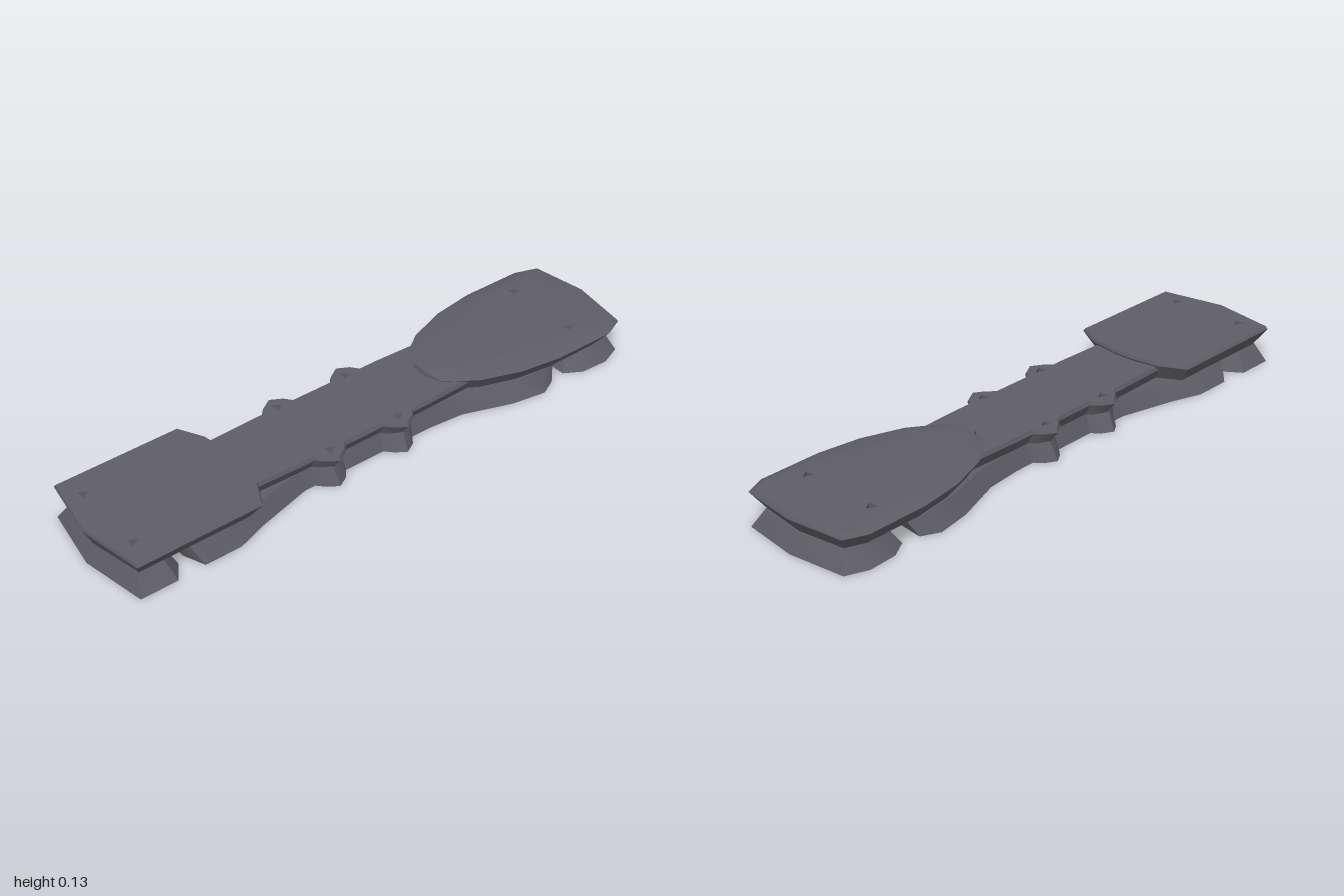
import * as THREE from 'three';
import { toCreasedNormals } from 'three/addons/utils/BufferGeometryUtils.js';

// Half outline [x, z] listed from back to front on the +x side, mirrored to a full loop
const mirror = (half) => [
  ...half,
  ...half.filter(([x]) => x > 0).reverse().map(([x, z]) => [-x, z]),
];

// Scale an outline about x = 0 and a given z
const inset = (pts, sx, sz, zc) => pts.map(([x, z]) => [x * sx, zc + (z - zc) * sz]);

// Three-sided screw holes, one on each side
const holePair = (z) => [-1, 1].map((s) => [0, 1, 2].map((i) => {
  const a = -Math.PI / 2 + (i * 2 * Math.PI) / 3;
  return [s * 0.135 + 0.02 * Math.cos(a), z + 0.02 * Math.sin(a)];
}));

// Loft through layers [y, outline], closed by pierced caps, with hole walls
function loft(layers, holes = []) {
  const pos = [];
  const put = (y, p) => pos.push(p[0], y, p[1]);
  const wall = (y0, lo, y1, hi, flip) => lo.forEach((p, i) => {
    const j = (i + 1) % lo.length;
    const a = [y0, p], b = [y0, lo[j]], c = [y1, hi[j]], d = [y1, hi[i]];
    const order = flip ? [a, c, d, a, b, c] : [a, d, c, a, c, b];
    order.forEach((v) => put(...v));
  });
  for (let k = 1; k < layers.length; k++) wall(...layers[k - 1], ...layers[k], false);
  const first = layers[0], last = layers[layers.length - 1];
  holes.forEach((h) => wall(first[0], h, last[0], h, true));
  [[first, false], [last, true]].forEach(([[y, pts], top]) => {
    const vec = (list) => list.map(([x, z]) => new THREE.Vector2(x, z));
    const all = [...pts, ...holes.flat()];
    THREE.ShapeUtils.triangulateShape(vec(pts), holes.map(vec)).forEach(([a, b, c]) =>
      (top ? [a, c, b] : [a, b, c]).forEach((i) => put(y, all[i])));
  });
  const geo = new THREE.BufferGeometry();
  geo.setAttribute('position', new THREE.Float32BufferAttribute(pos, 3));
  return toCreasedNormals(geo, 0.6);
}

// Pointed screw boss on the side of the spine
const boss = (z) => [
  [0.138, z - 0.06], [0.165, z - 0.04], [0.188, z], [0.165, z + 0.035], [0.138, z + 0.06],
];

export function createModel() {
  const group = new THREE.Group();
  const grey = new THREE.MeshStandardMaterial({ color: 0x5e5d64 });
  grey.name = 'dark grey';
  const add = (name, geo) => {
    const mesh = new THREE.Mesh(geo, grey);
    mesh.name = name;
    group.add(mesh);
  };
  const bossZ = [-0.07, 0.2];
  const bossHoles = bossZ.flatMap(holePair);
  const bosses = bossZ.flatMap(boss);

  // Base plate, flared at both ends
  const base = mirror([
    [0, -0.66], [0.2, -0.68], [0.23, -0.62], [0.21, -0.5], [0.15, -0.33], [0.138, -0.2],
    ...bosses,
    [0.138, 0.3], [0.19, 0.5], [0.225, 0.6], [0.225, 0.73], [0.15, 0.76], [0, 0.76],
  ]);
  add('basePlate', loft([[0, base], [0.06, inset(base, 0.84, 1.04, 0.045)]], bossHoles));

  // Spine between the two decks
  const spine = mirror([[0.13, -0.4], [0.138, -0.2], ...bosses, [0.138, 0.3], [0.13, 0.55]]);
  add('spine', loft([
    [0.06, inset(spine, 0.84, 1, 0)], [0.1, spine], [0.113, inset(spine, 0.96, 1, 0)],
  ], bossHoles));

  // Front deck and the foot below it
  const frontHoles = holePair(0.915);
  const front = mirror([[0.04, 0.46], [0.14, 0.475], [0.228, 0.52], [0.228, 0.96], [0, 1]]);
  add('frontDeck', loft([
    [0.06, inset(front, 0.82, 0.89, 0.73)], [0.12, front], [0.13, inset(front, 0.97, 0.99, 0.73)],
  ], frontHoles));
  const frontFoot = mirror([[0.17, 0.79], [0.23, 0.83], [0.23, 0.96], [0, 1]]);
  add('frontFoot', loft([[0, frontFoot], [0.06, inset(frontFoot, 0.82, 0.72, 0.895)]], frontHoles));

  // Rear deck, tapering forward with sloped shoulders
  const rearHoles = holePair(-0.805);
  const rear = mirror([
    [0, -1], [0.2, -0.975], [0.232, -0.9], [0.232, -0.68],
    [0.21, -0.53], [0.16, -0.39], [0.09, -0.29], [0.03, -0.27],
  ]);
  const rearTop = mirror([
    [0, -0.995], [0.19, -0.965], [0.21, -0.9], [0.19, -0.7],
    [0.13, -0.53], [0.08, -0.4], [0.05, -0.3], [0.03, -0.272],
  ]);
  add('rearDeck', loft([
    [0.06, inset(rear, 0.82, 0.89, -0.635)], [0.116, rear], [0.13, rearTop],
  ], rearHoles));
  const rearFoot = mirror([[0, -1], [0.2, -0.975], [0.23, -0.9], [0.225, -0.8], [0.19, -0.74]]);
  add('rearFoot', loft([[0, rearFoot], [0.06, inset(rearFoot, 0.82, 0.75, -0.87)]], rearHoles));

  return group;
}
